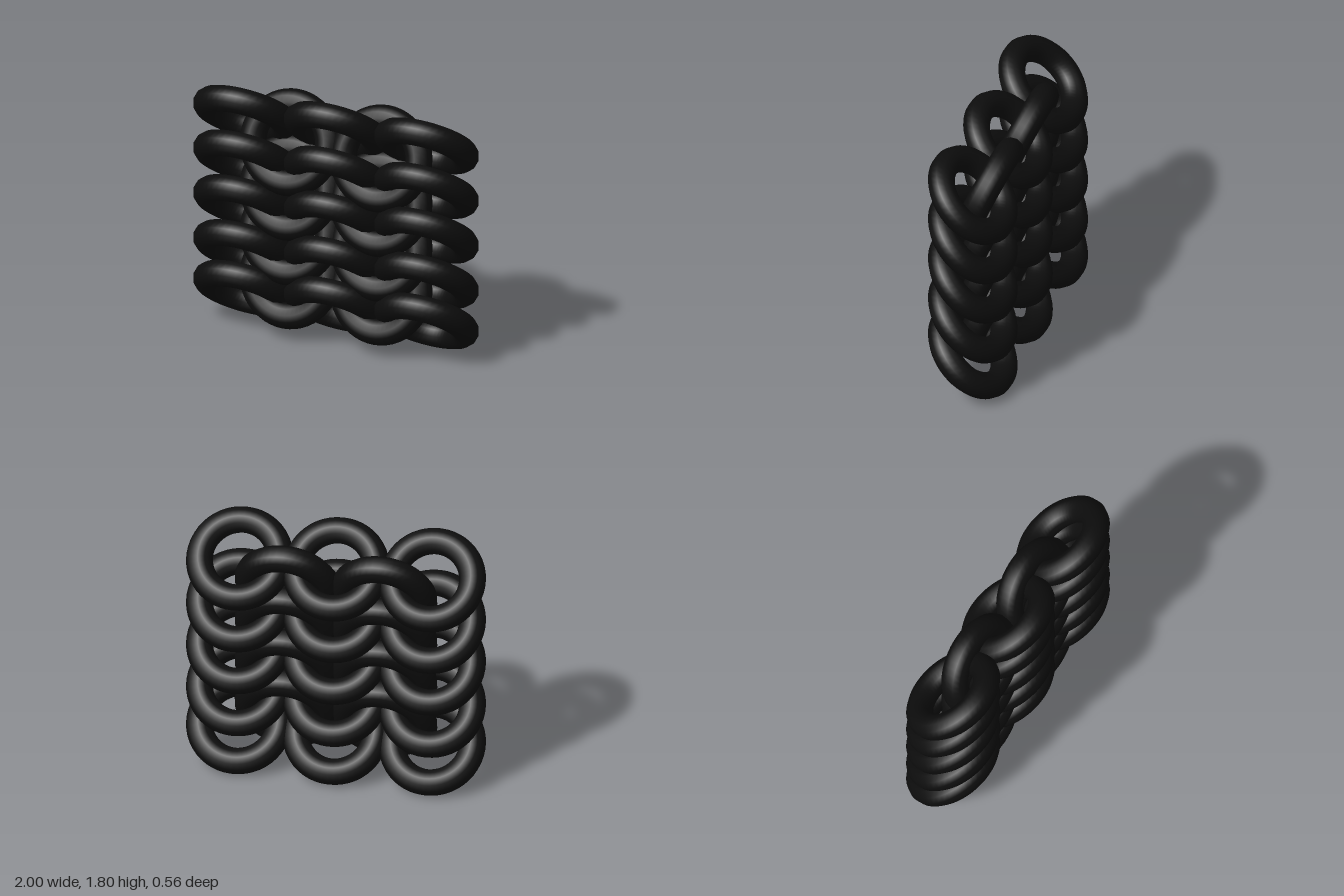
import * as THREE from 'three';

export function createModel() {
  const group = new THREE.Group();
  const material = new THREE.MeshStandardMaterial({ color: 0x0d0d0d });
  const ring = new THREE.TorusGeometry(0.266, 0.089, 12, 48);

  // a column of identical rings, all leaning by the same angle about x
  function column(name, x, heights, tilt) {
    const col = new THREE.Group();
    col.name = name;
    heights.forEach((y, i) => {
      const link = new THREE.Mesh(ring, material);
      link.name = `ring${i + 1}`;
      link.position.set(x, y, 0);
      link.rotation.x = THREE.MathUtils.degToRad(tilt);
      col.add(link);
    });
    group.add(col);
  }

  // three outer columns leaning forward
  [-0.645, 0, 0.645].forEach((x, i) =>
    column(`forwardRingColumn${i + 1}`, x, [0.267, 0.56, 0.885, 1.208, 1.53], 47.3));

  // two linking columns leaning back, woven through the neighbours
  [-0.3225, 0.3225].forEach((x, i) =>
    column(`linkingRingColumn${i + 1}`, x, [0.42, 0.735, 1.057, 1.379], -21.6));

  return group;
}
